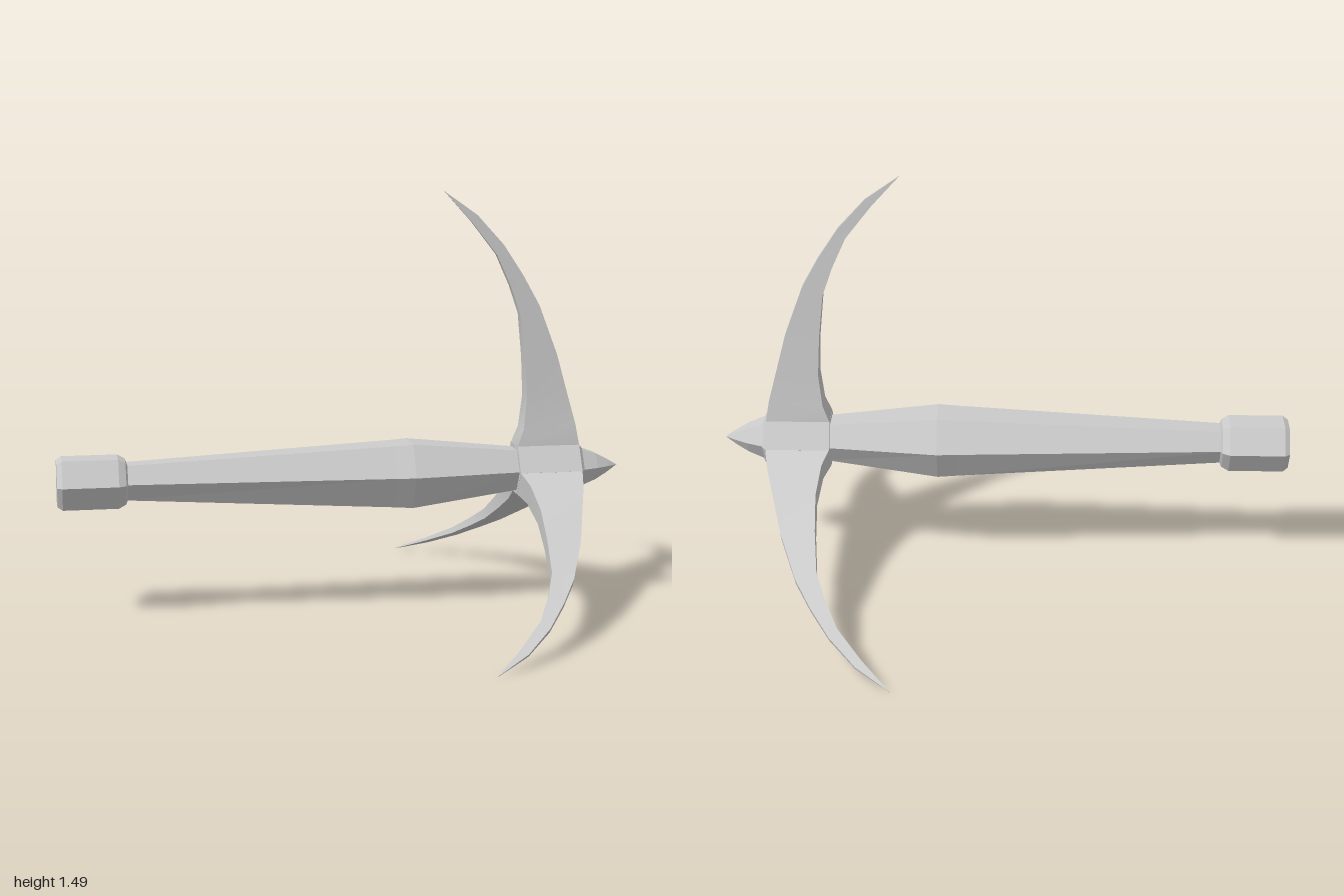
import * as THREE from 'three';
import { toCreasedNormals } from 'three/addons/utils/BufferGeometryUtils.js';

const AXIS_Y = 0.495;
const flat = new THREE.MeshStandardMaterial({ color: 0xcccccc, flatShading: true });
const smooth = new THREE.MeshStandardMaterial({ color: 0xcccccc });

// Six-sided turned part along x, from [x, radius] pairs
function hexPart(name, profile) {
  const geo = new THREE.LatheGeometry(profile.map(([x, r]) => new THREE.Vector2(r, x)), 6);
  geo.rotateZ(-Math.PI / 2);
  const mesh = new THREE.Mesh(geo, flat);
  mesh.name = name;
  return mesh;
}

// Blade stations: [inner x, inner height, outer x, outer height, inner half width, outer half width]
const STATIONS = [
  [0.62, 0.04, 0.845, 0.04, 0.05, 0.05],
  [0.62, 0.085, 0.845, 0.085, 0.05, 0.05],
  [0.643, 0.145, 0.832, 0.16, 0.042, 0.041],
  [0.655, 0.26, 0.80, 0.28, 0.034, 0.030],
  [0.647, 0.40, 0.765, 0.41, 0.027, 0.023],
  [0.63, 0.555, 0.70, 0.585, 0.019, 0.016],
  [0.595, 0.655, 0.642, 0.69, 0.015, 0.012],
  [0.545, 0.765, 0.57, 0.80, 0.011, 0.009],
  [0.455, 0.88, 0.475, 0.905, 0.006, 0.005],
  [0.355, 0.99, 0.355, 0.99, 0.001, 0.001],
];

// Curved, tapering blade lofted through four-cornered sections
function bladeGeometry() {
  const pos = [], index = [];
  for (const [xi, yi, xo, yo, wi, wo] of STATIONS) {
    pos.push(xi, yi, -wi, xi, yi, wi, xo, yo, wo, xo, yo, -wo);
  }
  for (let s = 0; s < STATIONS.length - 1; s++) {
    for (let k = 0; k < 4; k++) {
      const a = s * 4 + k, b = s * 4 + (k + 1) % 4;
      index.push(a, b, b + 4, a, b + 4, a + 4);
    }
  }
  const geo = new THREE.BufferGeometry();
  geo.setAttribute('position', new THREE.Float32BufferAttribute(pos, 3));
  geo.setIndex(index);
  return toCreasedNormals(geo, 0.6);
}

export function createModel() {
  const model = new THREE.Group();
  model.name = 'threeBladedPick';
  const body = new THREE.Group();
  body.name = 'body';
  body.position.y = AXIS_Y;
  model.add(body);

  // Handle, swelling towards the head and slightly deeper underneath
  const handle = hexPart('handle', [[-0.78, 0.069], [0.17, 0.12], [0.24, 0.125], [0.64, 0.08]]);
  const p = handle.geometry.attributes.position;
  for (let i = 0; i < p.count; i++) {
    const y = p.getY(i);
    if (y < -0.09) p.setY(i, y * 1.1);
  }
  body.add(handle);

  // Bevelled pommel
  body.add(hexPart('pommel', [
    [-1, 0], [-1, 0.085], [-0.982, 0.099], [-0.79, 0.099], [-0.765, 0.085], [-0.757, 0.068], [-0.757, 0],
  ]));

  // Hub that carries the blades
  body.add(hexPart('hub', [[0.62, 0], [0.62, 0.1], [0.845, 0.1], [0.858, 0.083], [0.858, 0]]));

  // Front spike
  body.add(hexPart('spike', [[0.855, 0], [0.855, 0.077], [0.915, 0.053], [0.96, 0.027], [1, 0]]));

  // Three blades around the hub
  const geo = bladeGeometry();
  for (let i = 0; i < 3; i++) {
    const blade = new THREE.Mesh(geo, smooth);
    blade.name = 'blade' + (i + 1);
    blade.rotation.x = i * Math.PI * 2 / 3;
    body.add(blade);
  }
  return model;
}
